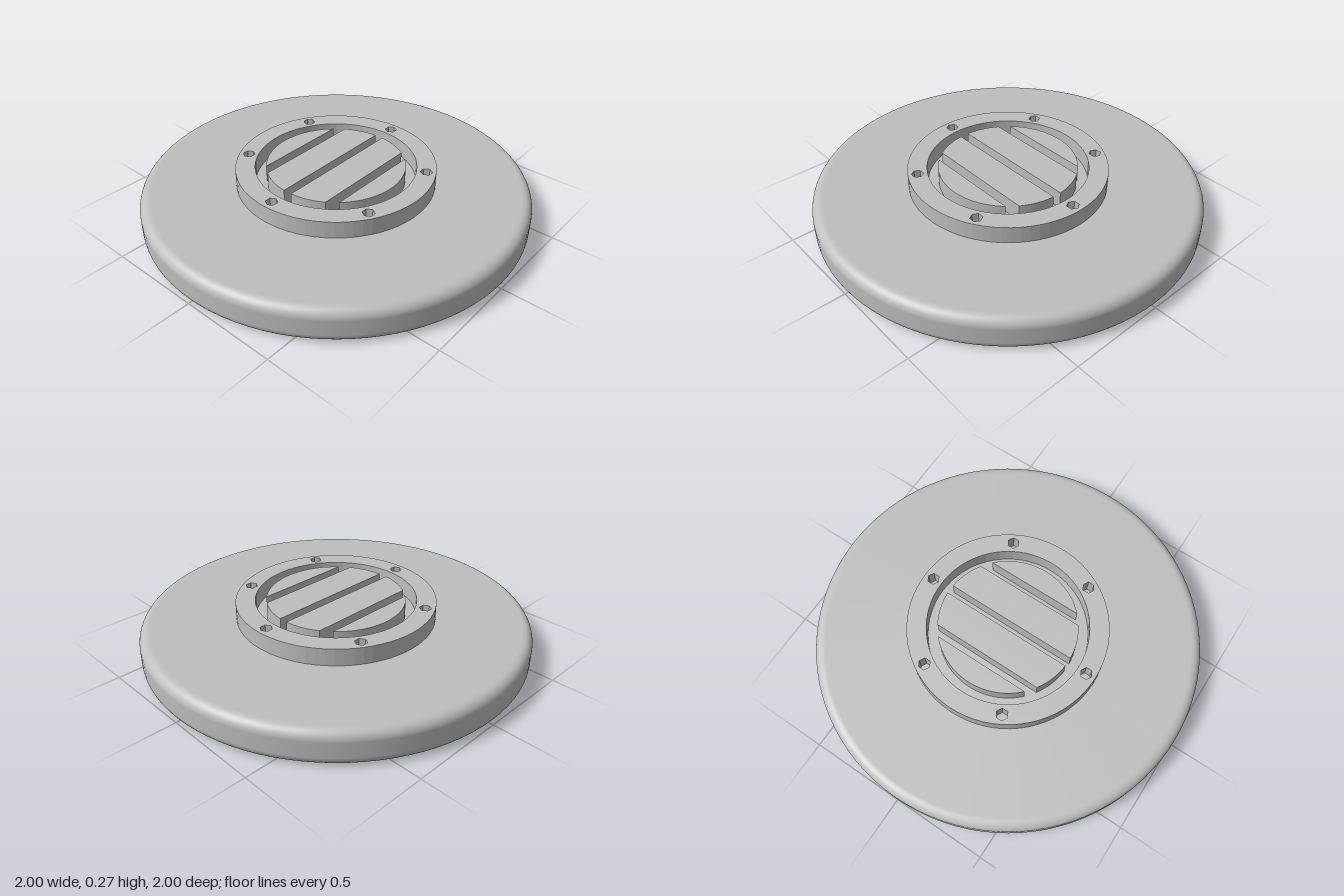
import * as THREE from 'three';

const DISC_TOP = 0.18, RAISED = 0.09;

export function createModel() {
  const model = new THREE.Group();
  const grey = new THREE.MeshStandardMaterial({ color: 0xbebebe });
  grey.name = 'plain grey';

  function add(name, geometry) {
    const mesh = new THREE.Mesh(geometry, grey);
    mesh.name = name;
    model.add(mesh);
    return mesh;
  }

  // Lays a plan outline flat on top of the disc and raises it
  function addRaised(name, shape) {
    const geometry = new THREE.ExtrudeGeometry(shape, { depth: RAISED, bevelEnabled: false, curveSegments: 36 });
    geometry.rotateX(-Math.PI / 2);
    add(name, geometry).position.y = DISC_TOP;
  }

  // Base disc with rounded rims; the extra points keep its flat faces evenly shaded
  const r = 0.05, profile = [new THREE.Vector2(0, 0), new THREE.Vector2(1 - r - 0.005, 0)];
  for (const [cy, start] of [[r, -Math.PI / 2], [DISC_TOP - r, 0]]) {
    for (let i = 0; i <= 8; i++) {
      const a = start + (i / 8) * Math.PI / 2;
      profile.push(new THREE.Vector2(1 - r + r * Math.cos(a), cy + r * Math.sin(a)));
    }
  }
  profile.push(new THREE.Vector2(1 - r - 0.005, DISC_TOP), new THREE.Vector2(0, DISC_TOP));
  add('baseDisc', new THREE.LatheGeometry(profile, 96));

  // Collar with six hexagonal bolt holes
  const collar = new THREE.Shape().absarc(0, 0, 0.513, 0, Math.PI * 2, false);
  collar.holes.push(new THREE.Path().absarc(0, 0, 0.413, 0, Math.PI * 2, true));
  for (let i = 0; i < 6; i++) {
    const a = Math.PI / 2 + i * Math.PI / 3;
    const corners = [];
    for (let k = 0; k < 6; k++) {
      const c = Math.PI / 2 - k * Math.PI / 3;
      corners.push(new THREE.Vector2(
        0.463 * Math.cos(a) + 0.031 * Math.cos(c),
        0.463 * Math.sin(a) + 0.031 * Math.sin(c)));
    }
    collar.holes.push(new THREE.Path(corners));
  }
  addRaised('boltCollar', collar);

  // Grille: a round island cut into four bars by straight slots
  const R = 0.357;
  const bars = [[-R, -0.245], [-0.195, -0.023], [0.023, 0.195], [0.245, R]];
  bars.forEach(([x0, x1], i) => {
    const a0 = Math.acos(x0 / R), a1 = Math.acos(x1 / R);
    const bar = new THREE.Shape();
    bar.absarc(0, 0, R, a1, a0, false);
    bar.absarc(0, 0, R, -a0, -a1, false);
    bar.closePath();
    addRaised('grilleBar' + (i + 1), bar);
  });

  return model;
}
